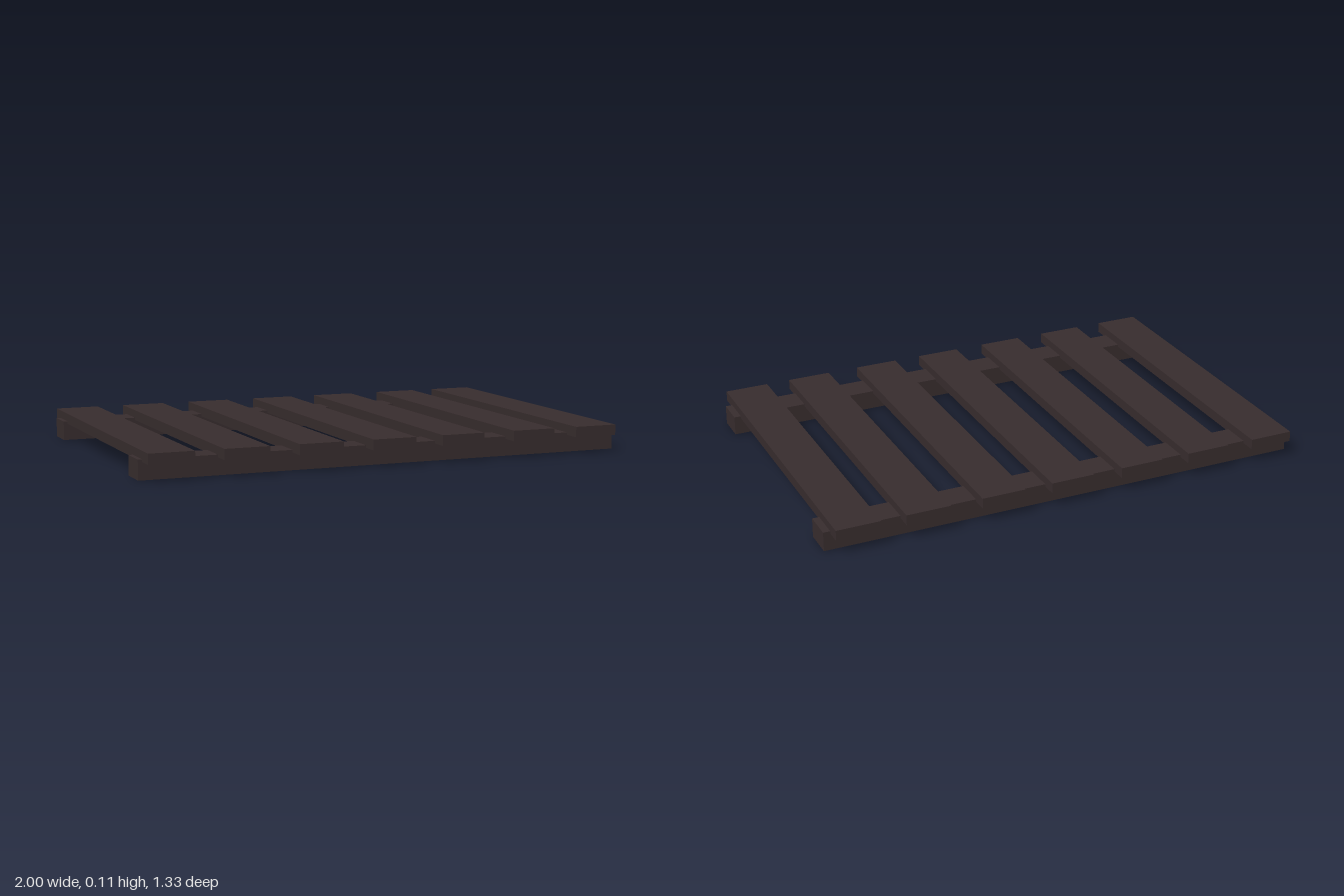
import * as THREE from 'three';

export function createModel() {
  const group = new THREE.Group();
  const darkWood = new THREE.MeshStandardMaterial({ color: 0x382d2e });
  darkWood.name = 'darkWood';

  // Adds a plank spanning the given ranges
  function plank(name, [x0, x1], [y0, y1], [z0, z1]) {
    const mesh = new THREE.Mesh(new THREE.BoxGeometry(x1 - x0, y1 - y0, z1 - z0), darkWood);
    mesh.position.set((x0 + x1) / 2, (y0 + y1) / 2, (z0 + z1) / 2);
    mesh.name = name;
    group.add(mesh);
  }

  // Two long rails resting on the ground
  plank('frontRail', [-1, 1], [0, 0.078], [0.472, 0.592]);
  plank('backRail', [-1, 1], [0, 0.078], [-0.604, -0.484]);

  // Seven slightly unevenly spaced slats, notched into the rails
  [-0.893, -0.6, -0.302, 0, 0.293, 0.603, 0.882].forEach((x, i) =>
    plank(`slat${i + 1}`, [x - 0.09, x + 0.09], [0.068, 0.11], [-0.665, 0.665]));

  return group;
}
